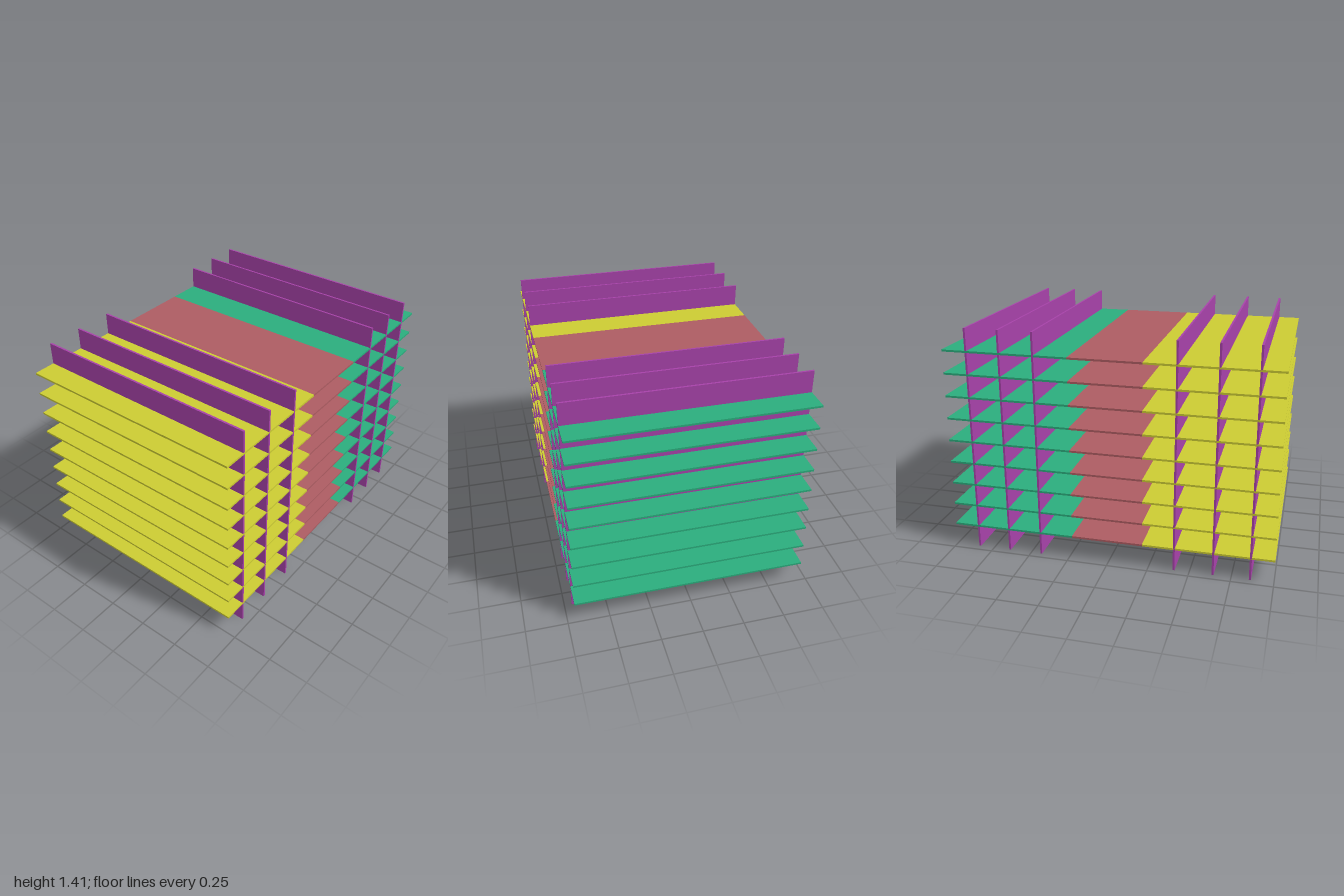
import * as THREE from 'three';

const WIDTH = 1.41, HEIGHT = 1.41, THICK = 0.012;

export function createModel() {
  const model = new THREE.Group();
  const paint = (color) => new THREE.MeshStandardMaterial({ color });

  function addPanel(parent, name, material, height, depth, y, z) {
    const mesh = new THREE.Mesh(new THREE.BoxGeometry(WIDTH, height, depth), material);
    mesh.name = name;
    mesh.position.set(0, y, z);
    parent.add(mesh);
  }

  // Each horizontal shelf is three coloured strips joined end to end
  const strips = [
    { name: 'frontStrip', from: 0.21, to: 1, material: paint(0xcccc33) },
    { name: 'middleStrip', from: -0.23, to: 0.21, material: paint(0xad5c62) },
    { name: 'backStrip', from: -1, to: -0.23, material: paint(0x2bad7d) },
  ];
  for (let i = 1; i <= 9; i++) {
    const shelf = new THREE.Group();
    shelf.name = 'shelf' + i;
    shelf.position.y = (HEIGHT * i) / 10;
    for (const s of strips) {
      addPanel(shelf, s.name, s.material, THICK, s.to - s.from, 0, (s.from + s.to) / 2);
    }
    model.add(shelf);
  }

  // Upright panels crossing the shelves, three near each end
  const purple = paint(0xa742a9);
  [0.86, 0.64, 0.405, -0.435, -0.643, -0.847].forEach((z, i) => {
    addPanel(model, 'uprightPanel' + (i + 1), purple, HEIGHT, THICK, HEIGHT / 2, z);
  });

  return model;
}
